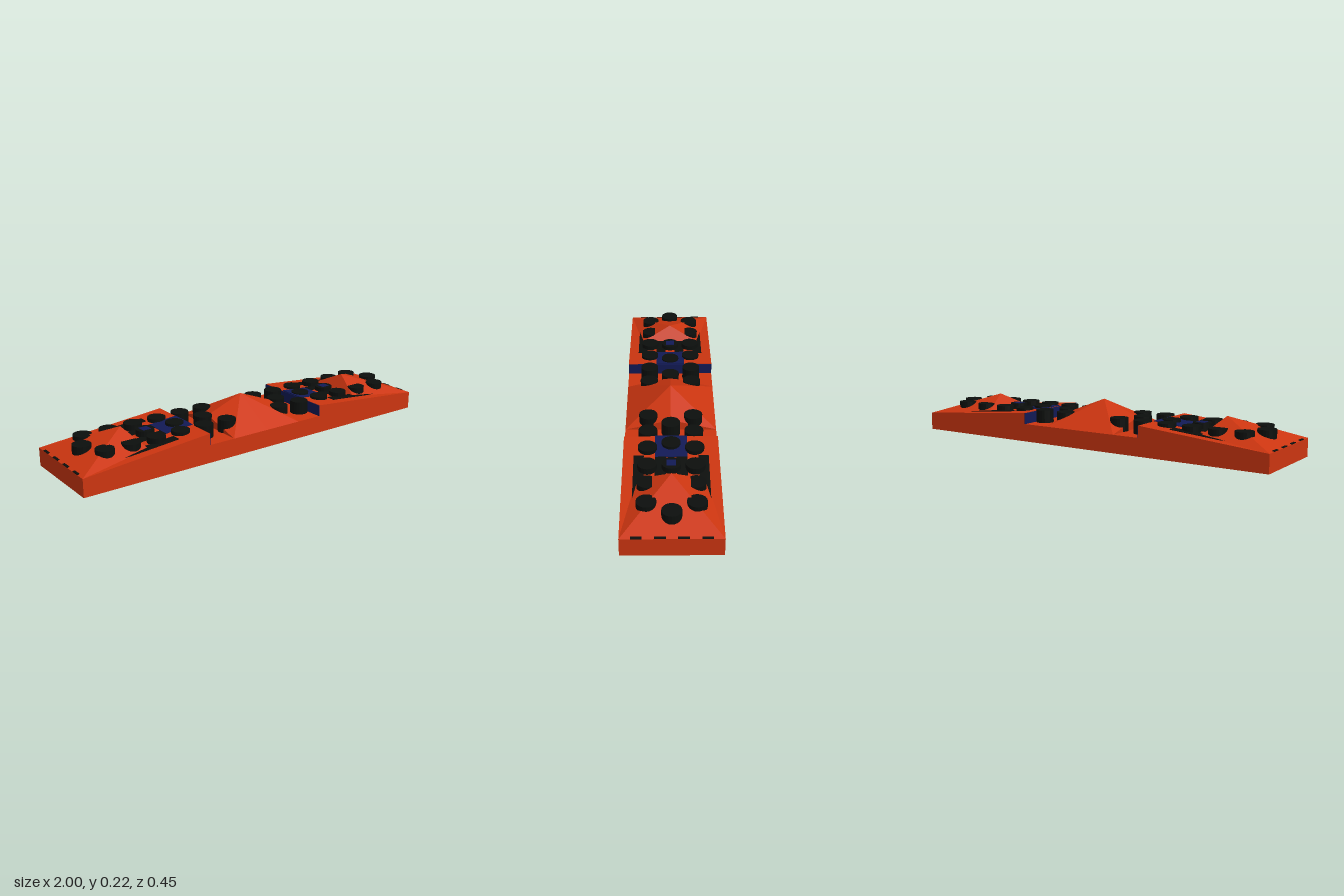
import * as THREE from 'three';

const mat = (color) => new THREE.MeshStandardMaterial({ color, flatShading: true });
const RED = mat(0xcc3510), BLACK = mat(0x0c0f0d), NAVY = mat(0x121a55);
const HALF_W = 0.223, DECK = 0.09, INNER = 0.34;

// height of the ramp surface at x
const rampY = (x) => DECK + (0.058 * (1 - x)) / (1 - INNER);

function add(parent, name, geometry, material) {
  const mesh = new THREE.Mesh(geometry, material);
  mesh.name = name;
  parent.add(mesh);
  return mesh;
}

// extrude an x-y outline along z, centred on zc
function prism(points, width, zc = 0) {
  const shape = new THREE.Shape(points.map(([x, y]) => new THREE.Vector2(x, y)));
  const g = new THREE.ExtrudeGeometry(shape, { depth: width, bevelEnabled: false });
  return g.translate(0, 0, zc - width / 2);
}

// faceted solid from corner points and triangles
function facets(points, triangles) {
  const g = new THREE.BufferGeometry();
  g.setAttribute('position', new THREE.Float32BufferAttribute(points.flat(), 3));
  g.setIndex(triangles.flat());
  const flat = g.toNonIndexed();
  flat.computeVertexNormals();
  return flat;
}

// thin strip that follows the ramp from x0 to x1
function rampStrip(x0, x1, width, z, lift) {
  return prism([[x0, DECK], [x1, DECK], [x1, rampY(x1) + lift], [x0, rampY(x0) + lift]], width, z);
}

function stud(parent, x, z) {
  const g = new THREE.CylinderGeometry(0.045, 0.045, 0.065, 20);
  add(parent, 'stud', g, BLACK).position.set(x, 0.123, z);
}

// one half of the model, built towards +x
function buildHalf(name) {
  const half = new THREE.Group();
  half.name = name;

  // sloping end block with its inner wall
  add(half, 'ramp', prism([[INNER, DECK], [1, DECK], [INNER, rampY(INNER)]], 2 * HALF_W), RED);
  add(half, 'innerWall', new THREE.BoxGeometry(0.004, 0.056, 2 * HALF_W), NAVY)
    .position.set(INNER - 0.001, DECK + 0.028, 0);

  // low peak on the ramp
  add(half, 'rampPeak', facets(
    [[1, DECK, HALF_W], [1, DECK, -HALF_W], [0.61, DECK, -HALF_W], [0.61, DECK, HALF_W], [0.69, 0.196, 0]],
    [[0, 1, 4], [1, 2, 4], [2, 3, 4], [3, 0, 4]]), RED);

  // dark stripes and blue panels on the ramp
  for (const s of [-1, 1]) {
    add(half, 'outerStripe', rampStrip(0.48, 1, 0.047, s * 0.15, 0.003), BLACK);
    add(half, 'innerStripe', rampStrip(0.49, 1, 0.05, s * 0.05, 0.003), BLACK);
  }
  add(half, 'bluePanel', rampStrip(INNER, 0.49, 0.15, 0, 0.003), NAVY);
  add(half, 'blueTile', new THREE.BoxGeometry(0.044, 0.067, 0.044), NAVY).position.set(0.56, 0.1235, 0);

  // staggered rows of studs
  for (let i = 0; i < 6; i++) {
    for (const s of [-1, 1]) stud(half, 0.163 + i * 0.1335, s * 0.11);
  }
  for (let i = 0; i < 5; i++) stud(half, 0.23 + i * 0.165, 0);

  // half of the central roof: ridge falls from the apex to the end gable
  add(half, 'roofHalf', facets(
    [[0, 0.222, 0], [0.2, 0.145, 0], [0, DECK, HALF_W], [0.2, DECK, HALF_W],
      [0, DECK, -HALF_W], [0.2, DECK, -HALF_W]],
    [[0, 2, 3], [0, 3, 1], [0, 5, 4], [0, 1, 5], [1, 3, 5]]), RED);
  return half;
}

export function createModel() {
  const model = new THREE.Group();
  model.name = 'studdedBar';
  add(model, 'base', new THREE.BoxGeometry(2, DECK, 2 * HALF_W), RED).position.y = DECK / 2;
  const left = buildHalf('leftHalf');
  const right = buildHalf('rightHalf');
  right.rotation.y = Math.PI;
  model.add(left, right);
  return model;
}
